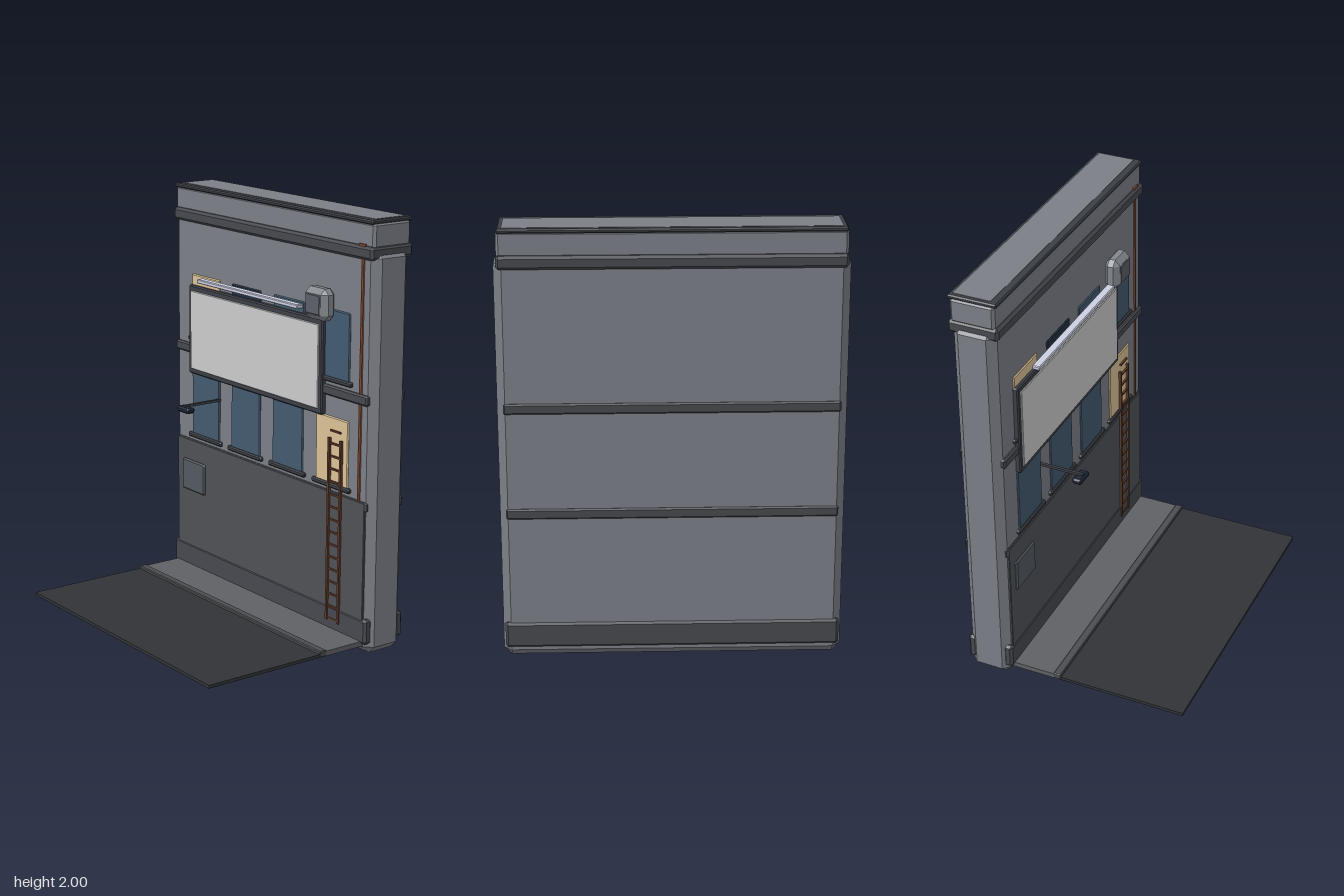
import * as THREE from 'three';
import { ConvexGeometry } from 'three/addons/geometries/ConvexGeometry.js';

const mat = (color) => new THREE.MeshStandardMaterial({ color, flatShading: true });
const M = {
  wall: mat(0x7c7f87), dark: mat(0x47494f), panel: mat(0x4f5156), trim: mat(0x3c3f46),
  glass: mat(0x435a70), lit: mat(0xdcc196), unlit: mat(0x222f40), board: mat(0xbcbcbf),
  tube: mat(0xccd0e2), unit: mat(0x84888f), grille: mat(0x5b5f68), copper: mat(0x7d4c33),
  rust: mat(0x5e3a29), hatch: mat(0x535960), pavement: mat(0x606164), curb: mat(0x4c4d51),
  road: mat(0x323336), navy: mat(0x1f2738),
};

// Box given by its limits, every edge cut by chamfer c
function block(parent, name, material, [x0, x1], [y0, y1], [z0, z1], c = 0) {
  const h = [(x1 - x0) / 2, (y1 - y0) / 2, (z1 - z0) / 2];
  let geometry;
  if (c > 0) {
    const pts = [];
    for (const sx of [-1, 1]) for (const sy of [-1, 1]) for (const sz of [-1, 1]) {
      for (let k = 0; k < 3; k++) {
        const p = h.map((v, i) => (i === k ? v : v - c));
        pts.push(new THREE.Vector3(sx * p[0], sy * p[1], sz * p[2]));
      }
    }
    geometry = new ConvexGeometry(pts);
  } else {
    geometry = new THREE.BoxGeometry(2 * h[0], 2 * h[1], 2 * h[2]);
  }
  const mesh = new THREE.Mesh(geometry, material);
  mesh.name = name;
  mesh.position.set((x0 + x1) / 2, (y0 + y1) / 2, (z0 + z1) / 2);
  parent.add(mesh);
  return mesh;
}

function rod(parent, name, material, r, from, to) {
  const path = new THREE.LineCurve3(new THREE.Vector3(...from), new THREE.Vector3(...to));
  const mid = path.getPoint(0.5);
  const mesh = new THREE.Mesh(new THREE.CylinderGeometry(r, r, path.getLength(), 8), material);
  mesh.name = name;
  mesh.position.copy(mid);
  mesh.quaternion.setFromUnitVectors(new THREE.Vector3(0, 1, 0), path.getTangent(0));
  parent.add(mesh);
}

function group(parent, name) {
  const g = new THREE.Group();
  g.name = name;
  parent.add(g);
  return g;
}

const wide = (w) => [-w, w];

export function createModel() {
  const model = new THREE.Group();
  model.name = 'buildingFacade';

  // Wall slab with chamfered corners
  block(model, 'wall', M.wall, wide(0.765), [0, 1.865], [-0.523, -0.318], 0.036);
  block(model, 'lowerPanel', M.panel, wide(0.73), [0.05, 0.72], [-0.33, -0.309], 0.003);

  // Plinth strips and horizontal bands on front and back
  block(model, 'frontPlinth', M.dark, wide(0.755), [0.05, 0.172], [-0.35, -0.305], 0.012);
  block(model, 'backPlinth', M.dark, wide(0.755), [0.05, 0.172], [-0.533, -0.488], 0.012);
  for (const y of [0.7, 1.192]) {
    block(model, 'frontBand', M.dark, wide(0.737), [y - 0.024, y + 0.024], [-0.332, y > 1 ? -0.303 : -0.311], 0.008);
    block(model, 'backBand', M.dark, wide(0.737), [y - 0.024, y + 0.024], [-0.531, -0.513], 0.007);
  }

  // Cornice, parapet, cap and roof
  block(model, 'cornice', M.dark, wide(0.752), [1.82, 1.88], [-0.543, -0.303], 0.012);
  block(model, 'parapet', M.wall, wide(0.75), [1.87, 1.985], [-0.529, -0.318], 0.012);
  block(model, 'cap', M.trim, wide(0.746), [1.978, 1.998], [-0.54, -0.308], 0.006);
  block(model, 'roof', M.wall, wide(0.725), [1.98, 2], [-0.52, -0.343]);

  // Two rows of windows with sills
  const rows = [
    { y: 0.752, glass: [M.glass, M.glass, M.glass, M.lit] },
    { y: 1.246, glass: [M.lit, M.unlit, M.glass, M.glass] },
  ];
  for (const { y, glass } of rows) {
    glass.forEach((material, i) => {
      const x = -0.495 + i * 0.328;
      const win = group(model, 'window');
      block(win, 'pane', material, [x - 0.115, x + 0.115], [y, y + 0.32], [-0.33, -0.312], 0.005);
      block(win, 'sill', M.trim, [x - 0.136, x + 0.136], [y - 0.013, y + 0.01], [-0.33, -0.302], 0.006);
    });
  }

  // Billboard with a strip light along its top
  const billboard = group(model, 'billboard');
  block(billboard, 'frame', M.trim, [-0.612, 0.433], [1.07, 1.514], [-0.325, -0.294], 0.006);
  block(billboard, 'screen', M.board, [-0.59, 0.412], [1.096, 1.488], [-0.305, -0.288], 0.003);
  block(billboard, 'stripLight', M.tube, [-0.483, 0.303], [1.544, 1.564], [-0.289, -0.25], 0.004);

  // Ventilation unit
  const vent = group(model, 'ventilationUnit');
  block(vent, 'casing', M.unit, [0.338, 0.496], [1.513, 1.66], [-0.33, -0.25], 0.026);
  block(vent, 'grille', M.grille, [0.366, 0.468], [1.541, 1.632], [-0.262, -0.246], 0.004);

  // Drain pipe
  rod(model, 'drainPipe', M.copper, 0.011, [0.68, 0.2, -0.321], [0.68, 1.885, -0.321]);
  block(model, 'pipeCollar', M.copper, [0.659, 0.701], [1.878, 1.888], [-0.33, -0.309]);

  // Ladder
  const ladder = group(model, 'ladder');
  for (const x of [0.481, 0.565]) {
    block(ladder, 'rail', M.rust, [x - 0.006, x + 0.006], [0.1, 0.975], [-0.312, -0.299]);
  }
  for (let i = 0; i < 16; i++) {
    const y = 1.01 - i * 0.06;
    block(ladder, 'rung', M.rust, i ? [0.481, 0.565] : [0.487, 0.559], [y - 0.004, y + 0.004], [-0.312, -0.302]);
  }

  // Wall hatch
  block(model, 'wallHatch', M.hatch, [-0.678, -0.492], [0.456, 0.616], [-0.32, -0.299], 0.007);

  // Lamp on an arm
  const lamp = group(model, 'wallLamp');
  block(lamp, 'arm', M.trim, [-0.388, -0.374], [0.966, 0.978], [-0.32, -0.1]);
  block(lamp, 'head', M.navy, [-0.427, -0.336], [0.941, 0.969], [-0.137, -0.09], 0.008);

  // Pavement, curb and road
  block(model, 'pavement', M.pavement, wide(0.728), [0.04, 0.064], [-0.33, -0.1]);
  block(model, 'curb', M.curb, wide(0.73), [0.04, 0.07], [-0.105, -0.066], 0.004);
  block(model, 'road', M.road, wide(0.728), [0.041, 0.056], [-0.08, 0.546]);

  return model;
}
